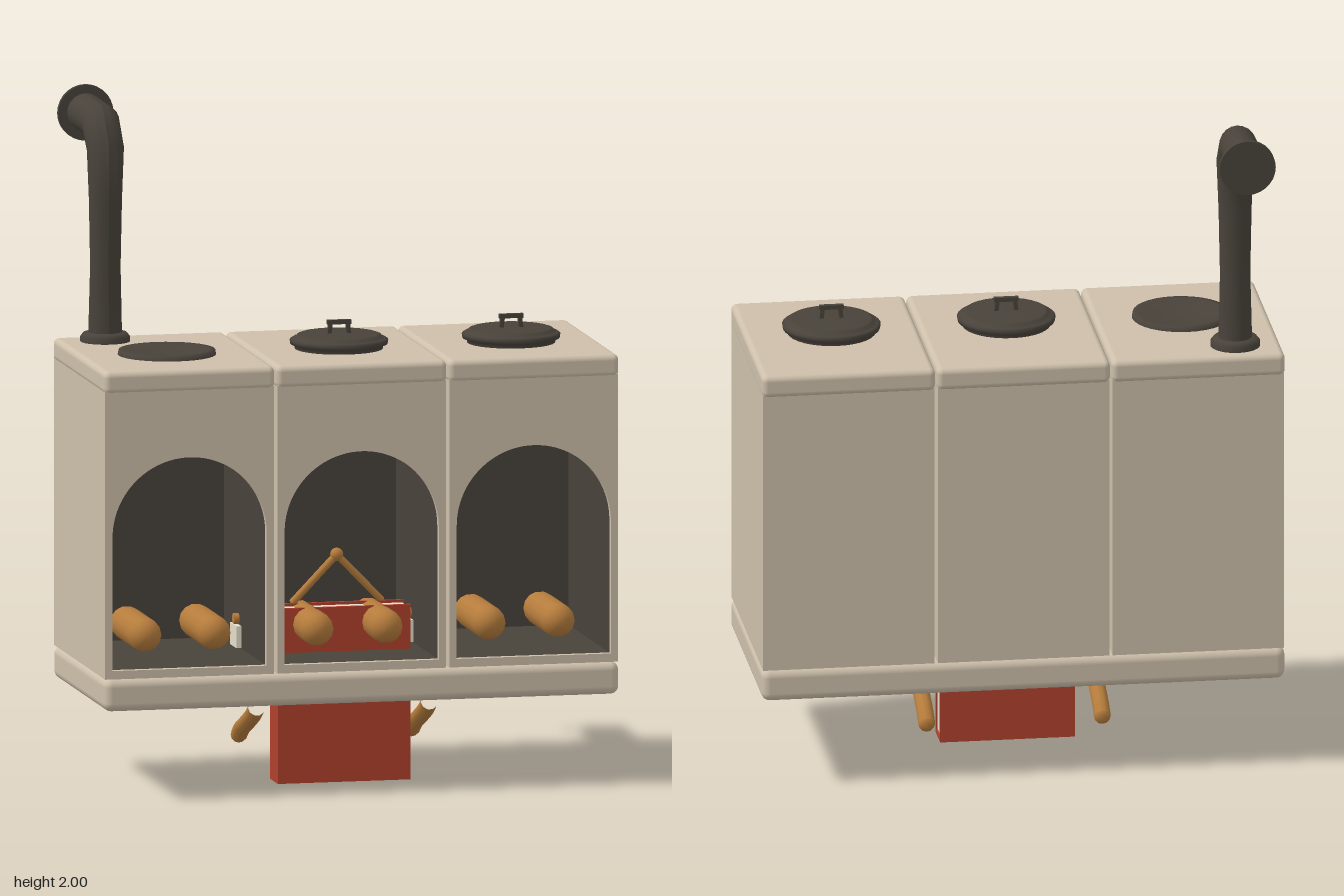
import * as THREE from 'three';
import { RoundedBoxGeometry } from 'three/addons/geometries/RoundedBoxGeometry.js';

const mat = (name, color, side = THREE.FrontSide) => {
  const m = new THREE.MeshStandardMaterial({ color, side });
  m.name = name;
  return m;
};

export function createModel() {
  const root = new THREE.Group();
  root.name = 'stove';
  const stone = mat('stone', 0xcdbfaa);
  const iron = mat('dark iron', 0x48423a, THREE.DoubleSide);
  const wood = mat('wood', 0xb57c3c);
  const red = mat('red', 0xb0402c);
  const paper = mat('paper', 0xe4dccb);

  const add = (parent, name, geo, material, x = 0, y = 0, z = 0) => {
    const mesh = new THREE.Mesh(geo, material);
    mesh.name = name;
    mesh.position.set(x, y, z);
    parent.add(mesh);
    return mesh;
  };
  // Box given by its limits on each axis
  const slab = (parent, name, material, x0, x1, y0, y1, z0, z1, r = 0) => {
    const size = [x1 - x0, y1 - y0, z1 - z0];
    const geo = r ? new RoundedBoxGeometry(...size, 3, r) : new THREE.BoxGeometry(...size);
    return add(parent, name, geo, material, (x0 + x1) / 2, (y0 + y1) / 2, (z0 + z1) / 2);
  };
  const lathe = (pts, n = 32) => new THREE.LatheGeometry(pts.map(p => new THREE.Vector2(...p)), n);
  const rod = (parent, name, a, b, r) => {
    const curve = new THREE.LineCurve3(new THREE.Vector3(...a), new THREE.Vector3(...b));
    const d = curve.getPoint(1).sub(curve.getPoint(0));
    const mesh = add(parent, name, new THREE.CylinderGeometry(r, r, d.length(), 10), wood);
    mesh.position.copy(curve.getPoint(0.5));
    mesh.quaternion.setFromUnitVectors(new THREE.Vector3(0, 1, 0), d.normalize());
  };

  // Base slab
  slab(root, 'base', stone, -0.775, 0.775, 0.268, 0.365, -0.26, 0.428, 0.025);

  // Front panel with an arched opening
  const face = new THREE.Shape();
  face.moveTo(-0.254, 0.365).lineTo(0.254, 0.365).lineTo(0.254, 1.22).lineTo(-0.254, 1.22).closePath();
  const arch = new THREE.Path();
  arch.moveTo(-0.232, 0.39).lineTo(-0.232, 0.785);
  arch.absarc(0, 0.785, 0.232, Math.PI, 0, true);
  arch.lineTo(0.232, 0.39).closePath();
  face.holes.push(arch);
  const faceGeo = new THREE.ExtrudeGeometry(face, { depth: 0.02, bevelEnabled: false, curveSegments: 24 });

  // Three oven modules
  for (const i of [-1, 0, 1]) {
    const oven = new THREE.Group();
    oven.name = 'oven';
    oven.position.x = i * 0.518;
    root.add(oven);
    add(oven, 'archedFront', faceGeo, stone, 0, 0, 0.4);
    for (const s of [-1, 1]) {
      const [a, b] = s < 0 ? [-0.254, -0.24] : [0.24, 0.254];
      slab(oven, 'sideWall', stone, a, b, 0.365, 1.22, -0.255, 0.4);
      const [c, d] = s < 0 ? [-0.24, -0.234] : [0.234, 0.24];
      slab(oven, 'sideLining', iron, c, d, 0.38, 1.15, -0.15, 0.399);
    }
    slab(oven, 'backWall', stone, -0.24, 0.24, 0.365, 1.22, -0.255, -0.16);
    slab(oven, 'backLining', iron, -0.24, 0.24, 0.38, 1.15, -0.16, -0.15);
    slab(oven, 'floorLining', iron, -0.24, 0.24, 0.37, 0.388, -0.15, 0.4);
    slab(oven, 'ceilingLining', iron, -0.24, 0.24, 1.14, 1.15, -0.15, 0.4);
    slab(oven, 'topCap', stone, -0.257, 0.257, 1.21, 1.278, -0.262, 0.424, 0.018);
    // Pair of logs
    for (const s of [-1, 1]) {
      const log = add(oven, 'log', new THREE.CapsuleGeometry(0.05, 0.23, 5, 14), wood, s * 0.104, 0.472, 0.165);
      log.rotation.x = Math.PI / 2;
    }
    if (i < 0) {
      // Open burner dish
      add(oven, 'burnerDish', lathe([[0, 1.281], [0.055, 1.281], [0.056, 1.284], [0.09, 1.286],
        [0.125, 1.293], [0.142, 1.292], [0.145, 1.276]]), iron, 0, 0, 0.12);
    } else {
      // Lid with a bracket handle
      add(oven, 'lid', lathe([[0.13, 1.276], [0.13, 1.288], [0.143, 1.292], [0.145, 1.304], [0.138, 1.309],
        [0.128, 1.31], [0.124, 1.318], [0.115, 1.321], [0, 1.323]]), iron, 0, 0, 0.12);
      slab(oven, 'handleGrip', iron, -0.036, 0.036, 1.349, 1.362, 0.113, 0.127);
      for (const s of [-1, 1]) {
        const leg = add(oven, 'handleLeg', new THREE.BoxGeometry(0.012, 0.04, 0.014), iron, s * 0.028, 1.335, 0.12);
        leg.rotation.z = s * 0.12;
      }
    }
  }

  // Stovepipe: rings [y, z, tilt, radius along the bend, radius across]
  const rings = [[1.29, -0.16, 0, 0.05, 0.05], [1.5, -0.157, 0, 0.044, 0.045], [1.7, -0.156, 0, 0.046, 0.049],
    [1.85, -0.156, 0.35, 0.053, 0.055], [1.918, -0.22, 1.2, 0.058, 0.056], [1.92, -0.418, Math.PI / 2, 0.055, 0.056]];
  const N = 20, pos = [], idx = [];
  rings.forEach(([y, z, t, r, rx], k) => {
    for (let j = 0; j <= N; j++) {
      const a = (j / N) * Math.PI * 2, v = r * Math.cos(a);
      pos.push(rx * Math.sin(a), y + v * Math.sin(t), z + v * Math.cos(t));
      if (k && j < N) {
        const b = k * (N + 1) + j, c = b - N - 1;
        idx.push(c, c + 1, b, c + 1, b + 1, b);
      }
    }
  });
  const pipeGeo = new THREE.BufferGeometry();
  pipeGeo.setAttribute('position', new THREE.Float32BufferAttribute(pos, 3));
  pipeGeo.setIndex(idx);
  pipeGeo.computeVertexNormals();
  add(root, 'stovepipe', pipeGeo, iron, -0.64, 0, 0);
  add(root, 'pipeCollar', lathe([[0.073, 1.275], [0.073, 1.293], [0.064, 1.304], [0.048, 1.306]]), iron, -0.64, 0, -0.16);
  const flange = add(root, 'pipeFlange', new THREE.CylinderGeometry(0.083, 0.083, 0.015, 28), iron, -0.64, 1.917, -0.422);
  flange.rotation.x = Math.PI / 2;

  // Wooden board under the base and its two curved arms
  slab(root, 'board', wood, -0.34, 0.34, 0.24, 0.268, -0.078, 0.217);
  const armPath = new THREE.CatmullRomCurve3([[0.225, 0.17], [0.2, 0.13], [0.165, 0.05], [0.137, -0.02], [0.112, -0.06]]
    .map(([y, z]) => new THREE.Vector3(0, y, z)));
  for (const s of [-1, 1]) {
    add(root, 'arm', new THREE.TubeGeometry(armPath, 16, 0.025, 10), wood, s * 0.26);
    const tip = add(root, 'armTip', new THREE.SphereGeometry(0.025, 10, 6), wood, s * 0.26, 0.112, -0.06);
    tip.scale.z = 0.6;
  }

  // Red bound block passing through the middle oven floor
  const book = new THREE.Group();
  book.name = 'book';
  root.add(book);
  slab(book, 'frontCover', red, -0.2, 0.2, 0, 0.52, 0.178, 0.19);
  slab(book, 'backCover', red, -0.2, 0.2, 0, 0.52, 0.088, 0.1);
  slab(book, 'spine', red, -0.2, -0.188, 0, 0.52, 0.1, 0.178);
  slab(book, 'bottomCover', red, -0.188, 0.2, 0, 0.012, 0.1, 0.178);
  slab(book, 'pages', paper, -0.188, 0.195, 0.012, 0.512, 0.1, 0.178);

  // Paper sheet, cross rod and hanger behind the middle logs
  slab(root, 'sheet', paper, -0.3, 0.3, 0.39, 0.455, 0.0, 0.08);
  rod(root, 'crossRod', [-0.3, 0.472, 0.04], [0.3, 0.472, 0.04], 0.016);
  for (const s of [-1, 1]) rod(root, 'hangerStick', [s * 0.135, 0.52, 0.09], [0, 0.66, 0.09], 0.011);
  add(root, 'hangerKnob', new THREE.SphereGeometry(0.02, 12, 8), wood, 0, 0.66, 0.09);
  return root;
}
